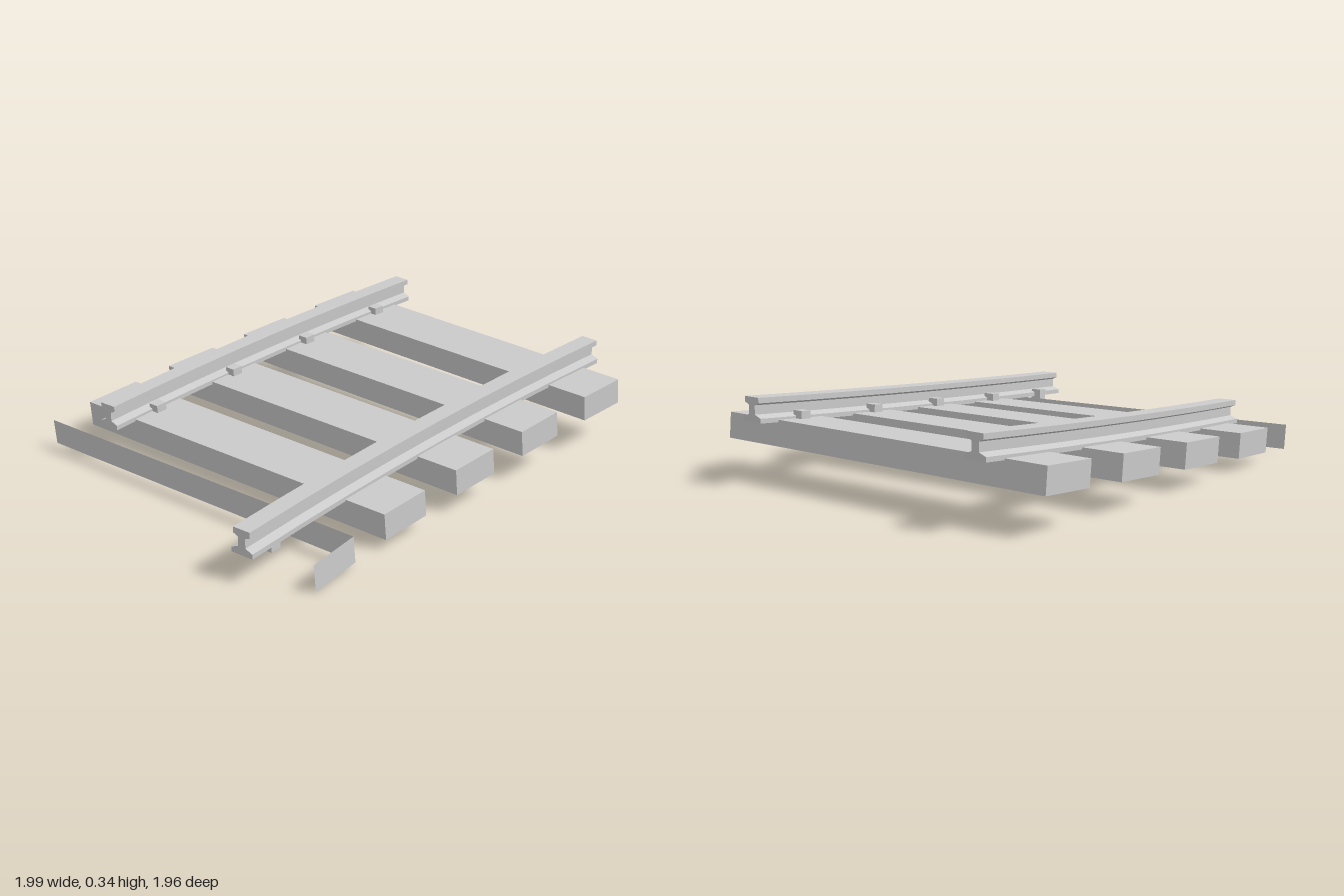
import * as THREE from 'three';

const material = new THREE.MeshStandardMaterial({ color: 0xcccccc, flatShading: true, side: THREE.DoubleSide });
const TIE_HEIGHT = 0.1, LEAN = 0.008;

// Tie plan corners as [x, z]: back left, back right, front right, front left; y = underside of left edge
const TIES = [
  { y: 0.003, plan: [[-1.23, -0.5], [-1, -0.57], [-0.55, 0.905], [-0.753, 0.98]], shell: true },
  { y: 0.037, plan: [[-0.82, -0.625], [-0.585, -0.69], [-0.184, 0.8], [-0.392, 0.855]] },
  { y: 0.07, plan: [[-0.408, -0.74], [-0.17, -0.797], [0.19, 0.705], [-0.016, 0.755]] },
  { y: 0.1, plan: [[0.01, -0.84], [0.245, -0.893], [0.565, 0.615], [0.355, 0.665]] },
  { y: 0.13, plan: [[0.43, -0.93], [0.668, -0.977], [0.94, 0.54], [0.73, 0.582]] },
];

// Tapered tie, tilted to follow the slope of the track
function tieGeometry({ y, plan, shell }) {
  const geo = new THREE.BoxGeometry(1, 1, 1);
  const p = geo.attributes.position;
  for (let i = 0; i < p.count; i++) {
    const right = p.getX(i) > 0, top = p.getY(i) > 0, front = p.getZ(i) > 0;
    const [x, z] = plan[front ? (right ? 2 : 3) : (right ? 1 : 0)];
    p.setXYZ(i, x + (top ? 0 : LEAN), y + (right ? 0.016 : 0) + (top ? TIE_HEIGHT : 0), z);
  }
  // The end tie is an open shell: right side and front end only
  if (shell) {
    const index = Array.from(geo.index.array);
    geo.setIndex([...index.slice(0, 6), ...index.slice(24, 30)]);
  }
  geo.computeVertexNormals();
  return geo;
}

// Rail profile: wide foot, narrow web, head
function railShape() {
  const half = [[0.047, 0], [0.047, 0.018], [0.016, 0.03], [0.016, 0.065], [0.037, 0.074], [0.037, 0.095]];
  const points = [...half, ...half.map(([x, y]) => [-x, y]).reverse()];
  return new THREE.Shape(points.map(([x, y]) => new THREE.Vector2(x, y)));
}

// Straight extrusion bent along a plan curve that also climbs
function railGeometry(curve) {
  const geo = new THREE.ExtrudeGeometry(railShape(), { depth: 1, steps: 8, bevelEnabled: false });
  const p = geo.attributes.position;
  for (let i = 0; i < p.count; i++) {
    const t = THREE.MathUtils.clamp(p.getZ(i), 0, 1);
    const c = curve.getPoint(t), d = curve.getTangent(t).setY(0).normalize();
    const s = p.getX(i);
    p.setXYZ(i, c.x + d.z * s, c.y + p.getY(i), c.z - d.x * s);
  }
  geo.computeVertexNormals();
  return geo;
}

const V = (x, y, z) => new THREE.Vector3(x, y, z);
const RAILS = [
  {
    name: 'frontRail',
    curve: new THREE.QuadraticBezierCurve3(V(-0.907, 0.094, 0.78), V(0.04, 0.169, 0.467), V(0.987, 0.244, 0.305)),
    clips: [[-0.735, 0.668], [-0.365, 0.557], [0.015, 0.46], [0.395, 0.368], [0.785, 0.288]],
    firstTie: 0,
  },
  {
    name: 'backRail',
    curve: new THREE.QuadraticBezierCurve3(V(-0.85, 0.122, -0.38), V(-0.026, 0.184, -0.641), V(0.797, 0.246, -0.768)),
    clips: [[-0.63, -0.388], [-0.225, -0.5], [0.185, -0.595], [0.6, -0.682]],
    firstTie: 1,
  },
];

export function createModel() {
  const model = new THREE.Group();
  model.name = 'curvedTrack';
  const add = (geo, name) => {
    const mesh = new THREE.Mesh(geo, material);
    mesh.name = name;
    model.add(mesh);
    return mesh;
  };

  TIES.forEach((tie, i) => add(tieGeometry(tie), `tie${i + 1}`));

  for (const { name, curve, clips, firstTie } of RAILS) {
    add(railGeometry(curve), name);
    // Clips on the inner foot of the rail, sunk into the ties
    clips.forEach(([x, z], i) => {
      const tie = TIES[firstTie + i], [, back, front] = tie.plan;
      const clip = add(new THREE.BoxGeometry(0.046, 0.12, 0.045), `${name}Clip${i + 1}`);
      clip.position.set(x, tie.y + 0.078, z);
      clip.rotation.set(0, Math.atan2(front[0] - back[0], front[1] - back[1]), 0.075);
    });
  }
  return model;
}
